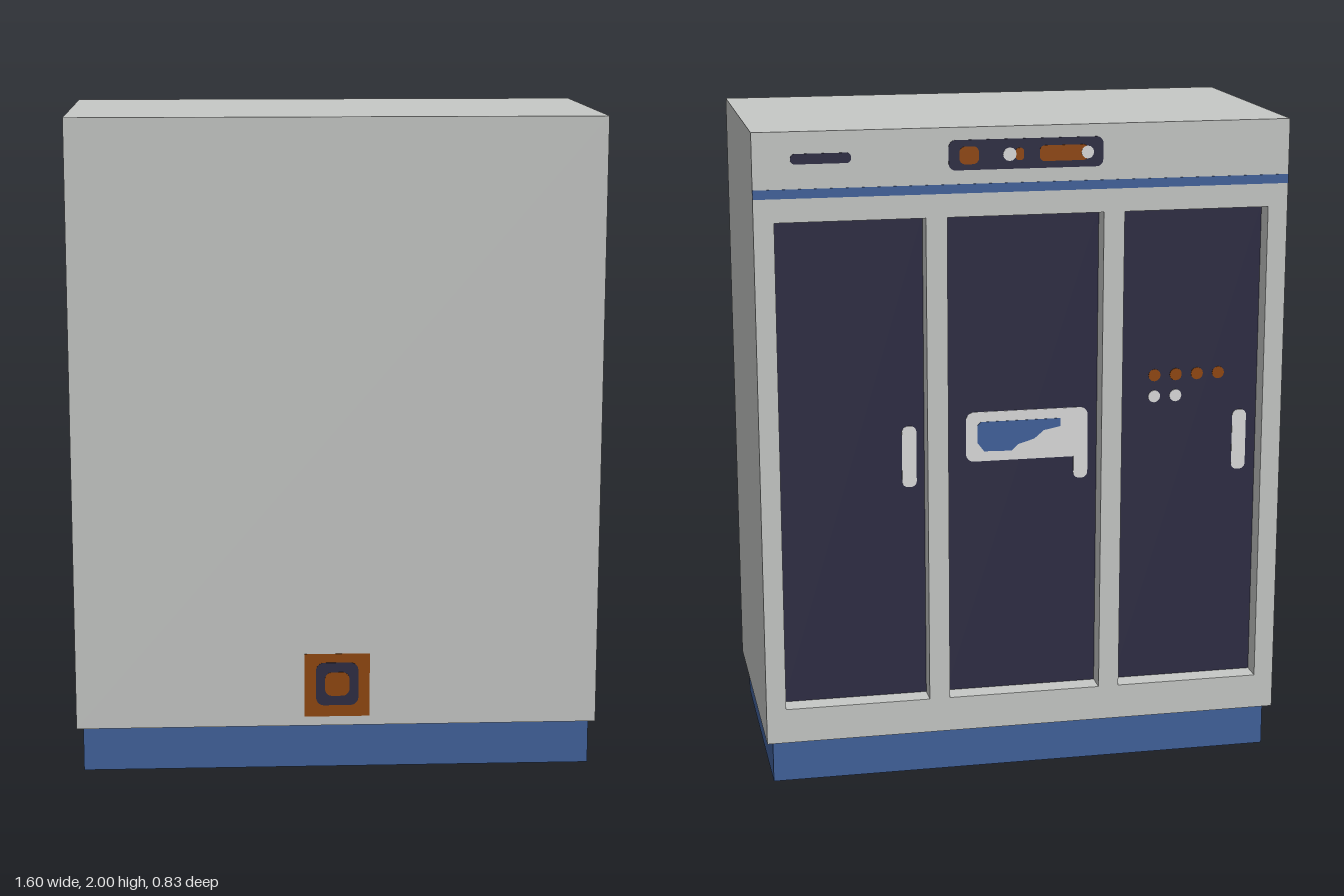
import * as THREE from 'three';

const material = (name, color) => {
  const m = new THREE.MeshStandardMaterial({ color });
  m.name = name;
  return m;
};

// Rectangle with rounded corners, centred on (x, y)
function roundRect(x, y, w, h, r = 0, Type = THREE.Shape) {
  const s = new Type(), a = w / 2, b = h / 2;
  if (r === 0) {
    s.moveTo(x - a, y - b); s.lineTo(x + a, y - b);
    s.lineTo(x + a, y + b); s.lineTo(x - a, y + b);
    s.closePath();
    return s;
  }
  s.absarc(x + a - r, y - b + r, r, -Math.PI / 2, 0);
  s.absarc(x + a - r, y + b - r, r, 0, Math.PI / 2);
  s.absarc(x - a + r, y + b - r, r, Math.PI / 2, Math.PI);
  s.absarc(x - a + r, y - b + r, r, Math.PI, Math.PI * 1.5);
  s.closePath();
  return s;
}

const disc = (x, y, r) => new THREE.Shape().absarc(x, y, r, 0, Math.PI * 2);

const polygon = (points) => new THREE.Shape(points.map(([x, y]) => new THREE.Vector2(x, y)));

export function createModel() {
  const grey = material('cabinet grey', 0xc6c8c6);
  const blue = material('blue', 0x41629c);
  const navy = material('dark glass', 0x2e2d44);
  const orange = material('burnt orange', 0x91480f);
  const white = material('pale trim', 0xdcdcdc);

  const model = new THREE.Group();
  model.name = 'threeDoorCabinet';

  const add = (parent, name, geometry, mat, x = 0, y = 0, z = 0) => {
    const mesh = new THREE.Mesh(geometry, mat);
    mesh.name = name;
    mesh.position.set(x, y, z);
    parent.add(mesh);
    return mesh;
  };
  // Thin plate extruded from a shape, standing proud of plane z
  const plate = (parent, name, shape, mat, z, depth = 0.002) =>
    add(parent, name, new THREE.ExtrudeGeometry(shape, { depth, bevelEnabled: false, curveSegments: 6 }), mat, 0, 0, z);

  const bottom = 0.137, top = 2, height = top - bottom, midY = (top + bottom) / 2;
  const half = 0.413, recess = 0.067;

  // Plinth and cabinet core
  add(model, 'plinth', new THREE.BoxGeometry(1.56, bottom, 0.78), blue, 0, bottom / 2, 0.01);
  add(model, 'cabinetBody', new THREE.BoxGeometry(1.6, height, half * 2 - recess), grey, 0, midY, recess / 2);

  // Socket plate on the plain side
  plate(model, 'socketPlate', roundRect(0, 0.266, 0.2, 0.2), orange, half - 0.001);
  plate(model, 'socketRing', roundRect(0, 0.27, 0.13, 0.136, 0.025), navy, half + 0.0005);
  plate(model, 'socketCentre', roundRect(0, 0.27, 0.075, 0.075, 0.022), orange, half + 0.002);

  // Door side: turned group, so its local +z points outward
  const doorSide = new THREE.Group();
  doorSide.name = 'doorSide';
  doorSide.rotation.y = Math.PI;
  model.add(doorSide);

  // Frame with three openings, and the glass set into them
  const openY = 0.9915, openH = 1.493, glassZ = half - recess;
  const doors = [[-0.519, 0.442], [0, 0.47], [0.519, 0.442]];
  const frame = roundRect(0, midY, 1.6, height);
  for (const [x, w] of doors) {
    frame.holes.push(roundRect(x, openY, w, openH, 0, THREE.Path));
    plate(doorSide, 'doorGlass', roundRect(x, openY, w, openH), navy, glassZ);
  }
  plate(doorSide, 'doorFrame', frame, grey, glassZ, recess);

  // Door handles
  for (const x of [-0.344, 0.185, 0.687]) {
    plate(doorSide, 'doorHandle', roundRect(x, 1.003, 0.044, 0.19, 0.018), white, glassZ + 0.002);
  }

  // Middle door notice with a blue patch
  plate(doorSide, 'noticePanel', roundRect(0.018, 1.054, 0.377, 0.154, 0.025), white, glassZ + 0.0025);
  plate(doorSide, 'noticePatch', polygon([
    [-0.135, 1.035], [-0.115, 1.008], [-0.03, 1.006], [-0.01, 1.025], [0.04, 1.04],
    [0.07, 1.065], [0.122, 1.075], [0.122, 1.1], [-0.125, 1.1], [-0.135, 1.09],
  ]), blue, glassZ + 0.004);

  // Round markers on the third door
  for (let i = 0; i < 4; i++) {
    const x = 0.415 + i * 0.067;
    plate(doorSide, 'orangeMarker', disc(x, 1.219, 0.019), orange, glassZ + 0.002);
    if (i < 2) plate(doorSide, 'paleMarker', disc(x, 1.153, 0.019), white, glassZ + 0.002);
  }

  // Header: stripe, slot and control panel
  const face = half - 0.0005;
  plate(doorSide, 'headerStripe', roundRect(0, 1.821, 1.6, 0.027), blue, face);
  plate(doorSide, 'headerSlot', roundRect(-0.602, 1.921, 0.175, 0.03, 0.013), navy, face);
  plate(doorSide, 'controlPanel', roundRect(0, 1.919, 0.46, 0.088, 0.02), navy, face);
  const front = half + 0.001;
  plate(doorSide, 'controlSwitch', roundRect(-0.17, 1.918, 0.058, 0.052, 0.018), orange, front);
  plate(doorSide, 'controlLamp', roundRect(-0.02, 1.918, 0.025, 0.036, 0.01), orange, front);
  plate(doorSide, 'controlKnob', disc(-0.05, 1.918, 0.02), white, front + 0.001);
  plate(doorSide, 'controlDisplay', roundRect(0.112, 1.918, 0.145, 0.046, 0.015), orange, front);
  plate(doorSide, 'displayKnob', disc(0.183, 1.918, 0.019), white, front + 0.001);

  return model;
}
